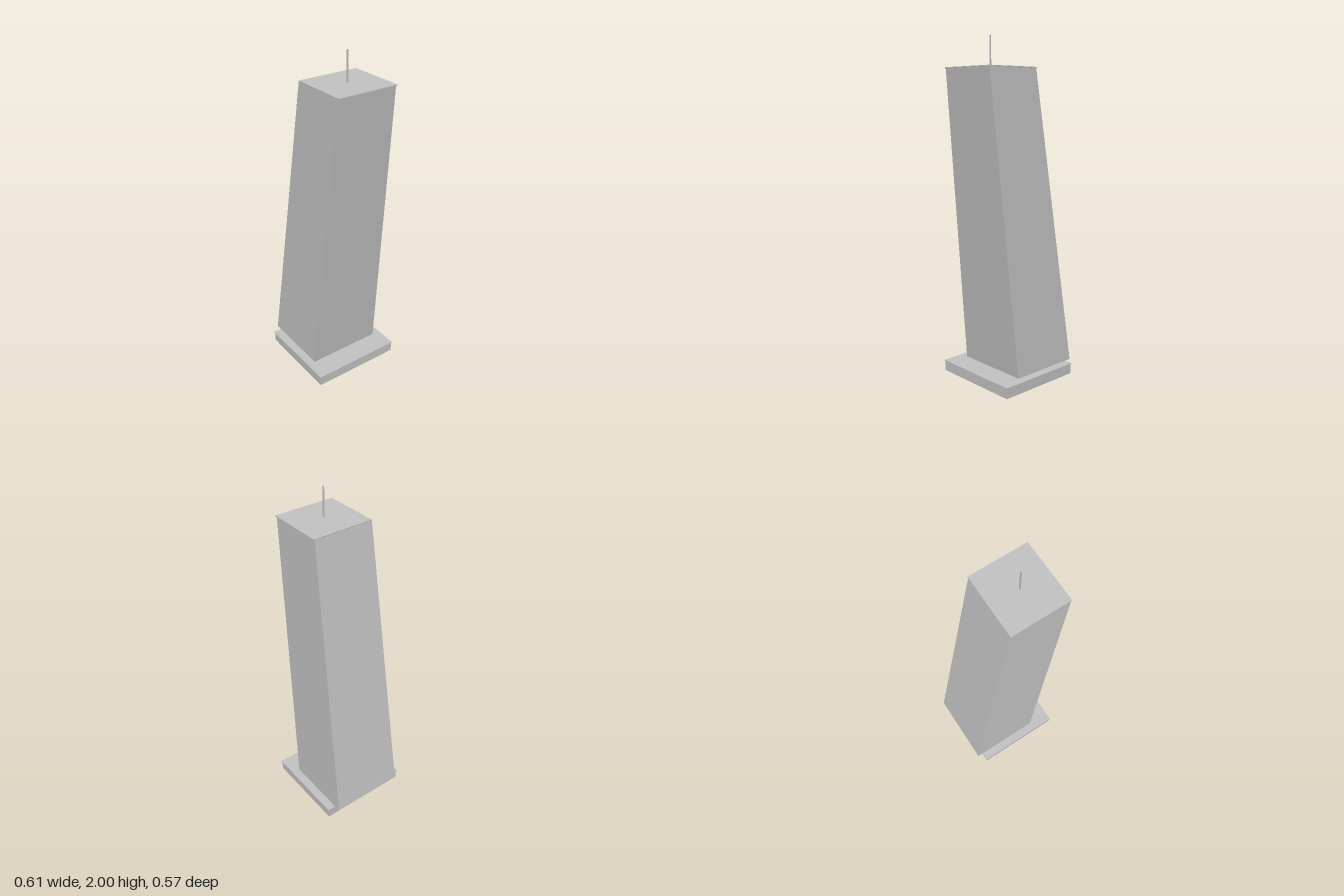
import * as THREE from 'three';

export function createModel() {
  const group = new THREE.Group();
  group.name = 'leaningTower';

  const concrete = new THREE.MeshStandardMaterial({ color: 0xc4c4c4 });
  concrete.name = 'light grey concrete';

  function add(name, geometry) {
    const mesh = new THREE.Mesh(geometry, concrete);
    mesh.name = name;
    group.add(mesh);
    return mesh;
  }

  // Box given by its low and high corners
  function box(name, [x0, y0, z0], [x1, y1, z1]) {
    const mesh = add(name, new THREE.BoxGeometry(x1 - x0, y1 - y0, z1 - z0));
    mesh.position.set((x0 + x1) / 2, (y0 + y1) / 2, (z0 + z1) / 2);
    return mesh;
  }

  // Plinth: four thin walls, open underneath, with a slightly wider lid
  const wall = 0.006, px = 0.264, pz = 0.279, lidY = 0.061, floorY = 0.066;
  for (const s of [-1, 1]) {
    const side = s > 0 ? 'Left' : 'Right';
    const face = s > 0 ? 'Front' : 'Back';
    const xs = [s * px, s * (px - wall)].sort((a, b) => a - b);
    const zs = [s * pz, s * (pz - wall)].sort((a, b) => a - b);
    box('plinthWall' + side, [xs[0], 0, -pz], [xs[1], lidY, pz]);
    box('plinthWall' + face, [-px + wall, 0, zs[0]], [px - wall, lidY, zs[1]]);
  }
  box('plinthLid', [-0.268, lidY, -0.284], [0.268, floorY, 0.284]);

  // Shaft: a box whose corners are moved to lean towards +x and taper upwards
  const roofY = 1.82;
  const shaft = new THREE.BoxGeometry(1, 1, 1);
  const p = shaft.attributes.position;
  for (let i = 0; i < p.count; i++) {
    const top = p.getY(i) > 0;
    const [x0, x1, z] = top ? [-0.045, 0.3, 0.185] : [-0.307, 0.13, 0.232];
    p.setXYZ(i, p.getX(i) > 0 ? x1 : x0, top ? roofY : floorY, Math.sign(p.getZ(i)) * z);
  }
  shaft.computeVertexNormals();
  add('towerShaft', shaft);

  // Roof slab, with a small lip at the back and at the leaning side
  box('roofSlab', [-0.045, roofY, -0.191], [0.305, roofY + 0.006, 0.185]);

  // Antenna
  box('antenna', [0.127, roofY, -0.0035], [0.134, 2, 0.0035]);

  return group;
}
